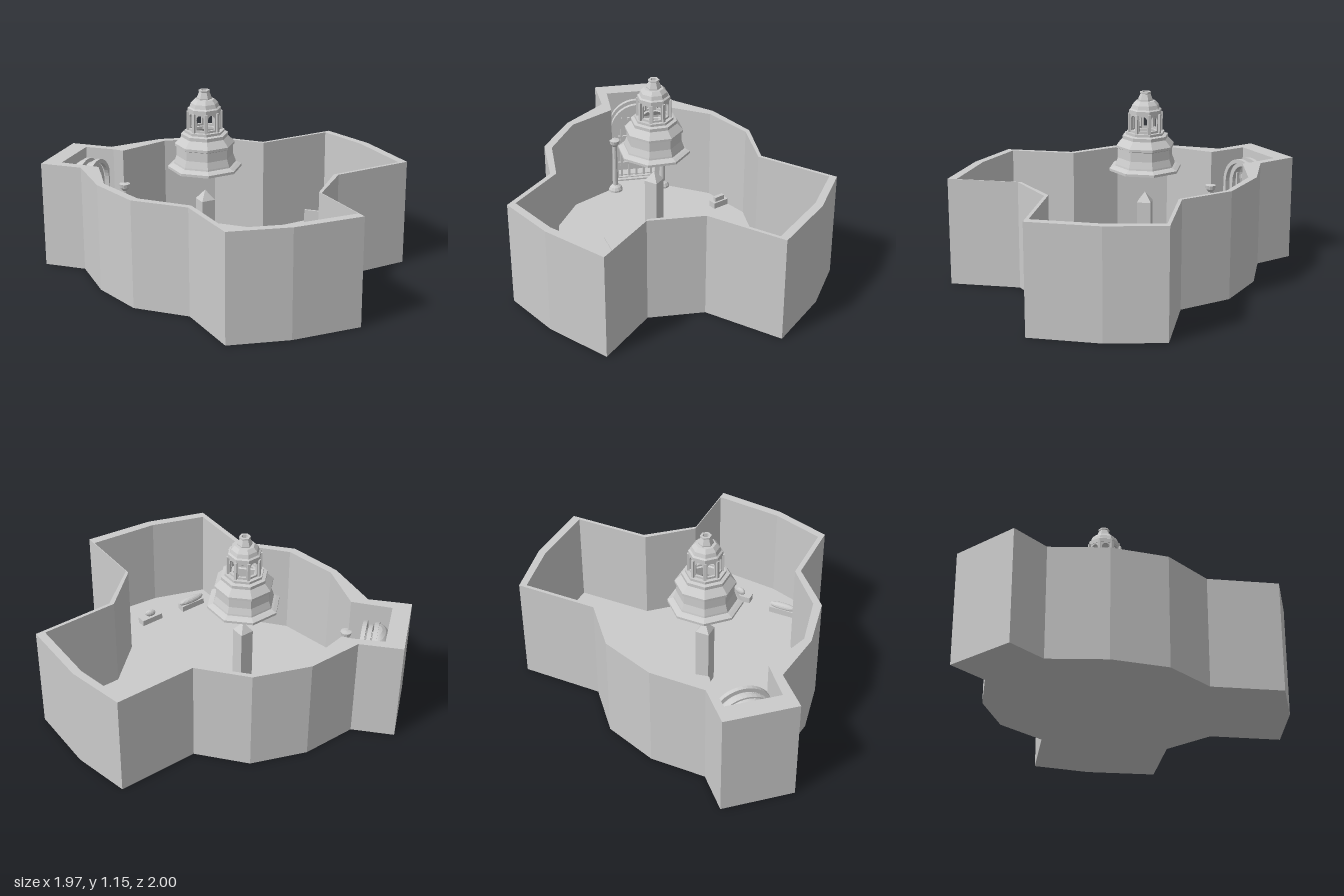
import * as THREE from 'three';

const FLOOR = 0.07, WALL = 0.66;
const mat = new THREE.MeshStandardMaterial({ color: 0xcccccc, flatShading: true, side: THREE.DoubleSide });

function add(parent, name, geo, x = 0, y = 0, z = 0, ry = 0) {
  const m = new THREE.Mesh(geo, mat);
  m.name = name;
  m.position.set(x, y, z);
  m.rotation.y = ry;
  parent.add(m);
  return m;
}
const box = (w, h, d) => new THREE.BoxGeometry(w, h, d).translate(0, h / 2, 0);
const lathe = (pts, n) => new THREE.LatheGeometry(pts.map(p => new THREE.Vector2(p[0], p[1])), n);

// Plan outlines as (x, z) pairs
const outer = [[-0.66, -1], [-0.48, -0.81], [-0.14, -0.81], [0.19, -0.69], [0.41, -0.43], [0.91, -0.43],
  [0.98, -0.08], [0.97, 0.35], [0.47, 0.35], [0.21, 0.57], [0.21, 1], [-0.21, 0.95], [-0.56, 0.83],
  [-0.56, 0.41], [-0.79, 0.15], [-0.85, -0.18], [-0.81, -0.52], [-0.99, -0.71]];
const inner = [[-0.62, -0.885], [-0.49, -0.755], [-0.45, -0.7], [-0.13, -0.76], [0.18, -0.66], [0.4, -0.41],
  [0.87, -0.41], [0.93, -0.09], [0.92, 0.33], [0.45, 0.33], [0.205, 0.55], [0.205, 0.945], [-0.21, 0.9],
  [-0.53, 0.79], [-0.53, 0.39], [-0.74, 0.14], [-0.805, -0.18], [-0.71, -0.48], [-0.76, -0.54], [-0.87, -0.67]];
const plan = pts => pts.map(([x, z]) => new THREE.Vector2(x, -z));
const raise = (shape, h) => new THREE.ExtrudeGeometry(shape, { depth: h, bevelEnabled: false }).rotateX(-Math.PI / 2);

// Round-headed arch outline: half width w, from y0 up to the springing s
function archPath(path, w, y0, s) {
  path.moveTo(-w, y0);
  path.lineTo(w, y0);
  path.lineTo(w, s);
  path.absarc(0, s, w, 0, Math.PI, false);
  path.lineTo(-w, y0);
  return path;
}

function lantern() {
  const g = new THREE.Group();
  g.name = 'lantern';
  const k = 1 / Math.cos(Math.PI / 8);
  const oct = pts => lathe(pts.map(([r, y]) => [r * k, y]), 8).rotateY(Math.PI / 8);
  // Flared octagonal drum with stepped roof
  add(g, 'drum', oct([[0.18, 0.675], [0.205, 0.675], [0.205, 0.69], [0.185, 0.7], [0.172, 0.705], [0.17, 0.715],
    [0.157, 0.755], [0.155, 0.81], [0.165, 0.815], [0.165, 0.83], [0.13, 0.87], [0.13, 0.89], [0.11, 0.895],
    [0.11, 0.91], [0.06, 0.91]]));
  // Eight arched windows
  const panel = new THREE.Shape([[-0.036, 0], [0.036, 0], [0.036, 0.125], [-0.036, 0.125]].map(p => new THREE.Vector2(...p)));
  panel.holes.push(archPath(new THREE.Path(), 0.023, 0.015, 0.083));
  const geo = new THREE.ExtrudeGeometry(panel, { depth: 0.014, bevelEnabled: false, curveSegments: 5 });
  for (let i = 0; i < 8; i++) {
    const a = i * Math.PI / 4;
    add(g, 'window', geo, Math.sin(a) * 0.075, 0.908, Math.cos(a) * 0.075, a);
    add(g, 'post', box(0.016, 0.12, 0.016), Math.sin(a + Math.PI / 8) * 0.098, 0.905,
      Math.cos(a + Math.PI / 8) * 0.098, a + Math.PI / 8);
  }
  // Cap and tapered finial
  add(g, 'cap', oct([[0.07, 1.02], [0.092, 1.02], [0.092, 1.045], [0.082, 1.052], [0.075, 1.075], [0.055, 1.097], [0, 1.102]]));
  add(g, 'finial', lathe([[0.045, 1.095], [0.045, 1.105], [0.03, 1.14], [0.034, 1.142], [0.034, 1.152], [0.02, 1.152], [0.018, 1.12], [0, 1.12]], 6));
  g.position.set(-0.17, 0, -0.13);
  return g;
}

function gate() {
  const g = new THREE.Group();
  g.name = 'gate';
  // Layered arch rings, stepping back into the niche
  [[0.175, 0.15, 0], [0.155, 0.125, -0.035], [0.175, 0.14, -0.07]].forEach(([ro, ri, z]) => {
    const s = archPath(new THREE.Shape(), ro, 0, 0.39);
    s.holes.push(archPath(new THREE.Path(), ri, 0.01, 0.39));
    add(g, 'arch', new THREE.ExtrudeGeometry(s, { depth: 0.025, bevelEnabled: false, curveSegments: 10 }), 0, FLOOR, z);
  });
  // Curved hood behind the arch
  const hood = new THREE.SphereGeometry(0.165, 14, 6, Math.PI, Math.PI, 0, Math.PI / 2);
  hood.scale(1, 1, 0.55).rotateY(Math.PI);
  const p = hood.attributes.position;
  for (let i = 0; i < p.count; i++) p.setZ(i, -Math.abs(p.getZ(i)));
  add(g, 'hood', hood, 0, FLOOR + 0.39, -0.07);
  // Grille with a round boss
  for (let i = -2; i <= 2; i++) add(g, 'bar', box(0.014, 0.45, 0.012), i * 0.05, FLOOR, -0.03);
  for (const y of [0.1, 0.3]) add(g, 'rail', box(0.26, 0.016, 0.014), 0, FLOOR + y, -0.03);
  add(g, 'boss', new THREE.TorusGeometry(0.04, 0.009, 6, 14), 0, FLOOR + 0.2, -0.02);
  g.position.set(-0.65, 0, -0.69);
  g.rotation.y = 0.72;
  return g;
}

export function createModel() {
  const root = new THREE.Group();
  root.name = 'courtyard';

  // Enclosing walls and floor
  const walls = new THREE.Shape(plan(outer));
  walls.holes.push(new THREE.Path(plan(inner)));
  add(root, 'walls', raise(walls, WALL));
  add(root, 'floor', raise(new THREE.Shape(plan(inner)), FLOOR));
  add(root, 'plaza', new THREE.CylinderGeometry(0.32, 0.32, 0.006, 14), -0.17, FLOOR + 0.003, -0.13);

  // Obelisk below the hanging lantern
  const turn = Math.PI / 4;
  add(root, 'obelisk', lathe([[0.06, 0], [0.06, 0.4], [0, 0.46]], 4), -0.17, FLOOR, -0.13, turn);
  root.add(lantern(), gate());

  // Columns flanking the gate
  const column = lathe([[0.048, 0], [0.048, 0.012], [0.038, 0.03], [0.018, 0.042], [0.015, 0.33],
    [0.03, 0.35], [0.034, 0.375], [0, 0.38]], 12);
  for (const [x, z] of [[-0.45, -0.69], [-0.69, -0.48]]) add(root, 'column', column, x, FLOOR, z);

  // Low plinths with rounded tops
  const pebble = (rx, ry, rz) => new THREE.SphereGeometry(1, 12, 8).scale(rx, ry, rz);
  add(root, 'plinth', box(0.17, 0.04, 0.055), -0.36, FLOOR, 0.69);
  add(root, 'ovalTop', pebble(0.095, 0.025, 0.025), -0.36, FLOOR + 0.05, 0.69);
  add(root, 'plinth', box(0.15, 0.04, 0.055), -0.05, FLOOR, 0.715);
  add(root, 'smallFigure', pebble(0.035, 0.025, 0.018), -0.05, FLOOR + 0.06, 0.715, -0.3);

  // Bench by the back wall
  const bench = new THREE.Group();
  bench.name = 'bench';
  add(bench, 'benchBase', box(0.05, 0.04, 0.11));
  add(bench, 'benchTop', box(0.025, 0.03, 0.07), 0, 0.04, 0);
  bench.position.set(0, FLOOR, -0.66);
  bench.rotation.y = -0.4;
  root.add(bench);

  // Upright slab in the side court
  add(root, 'slab', box(0.12, 0.12, 0.015), 0.7, FLOOR, -0.27, -0.82);
  return root;
}
